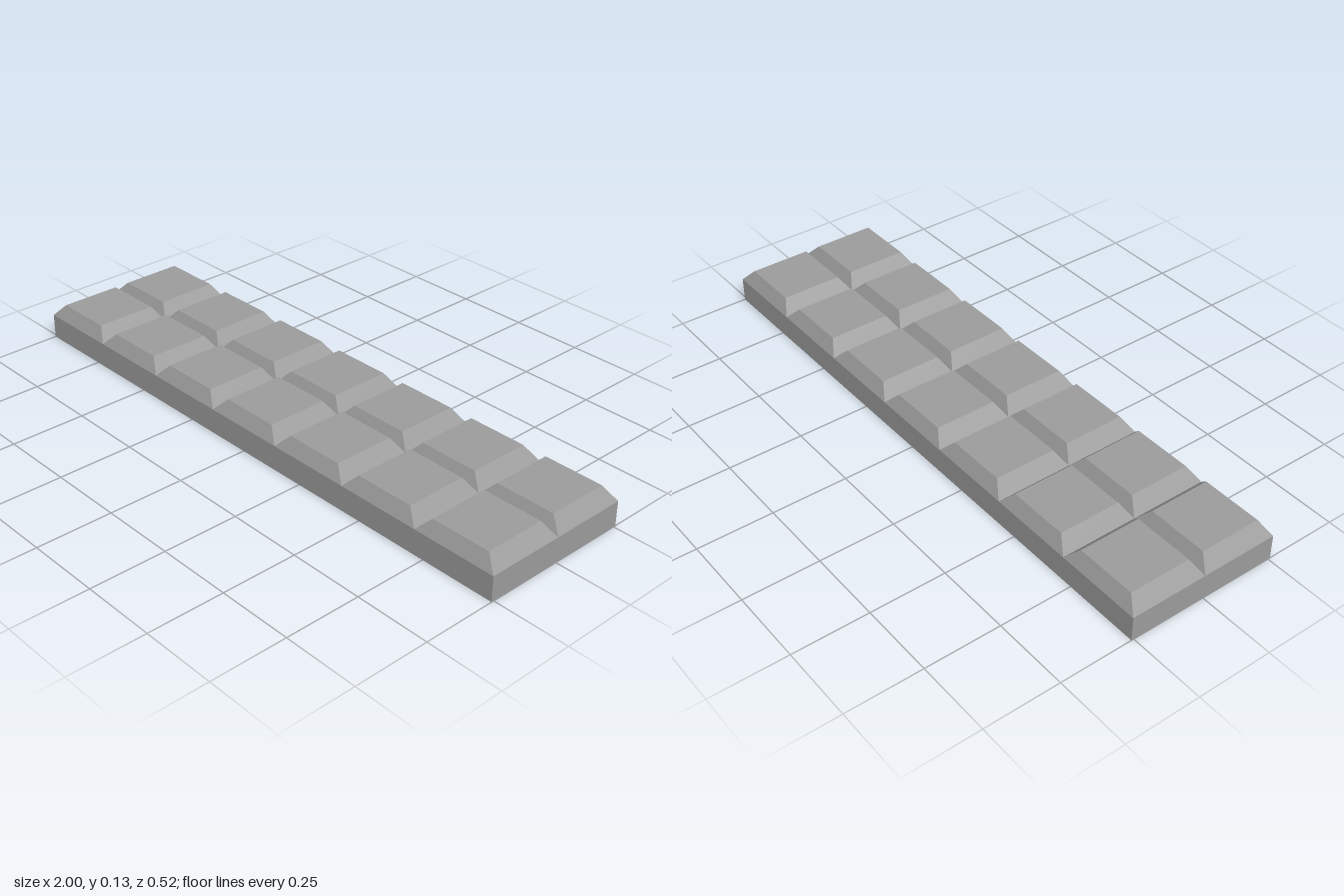
import * as THREE from 'three';

const LENGTH = 2, DEPTH = 0.516;
const SLAB_H = 0.083, SQUARE_H = 0.044;
const COLS = 7, ROWS = 2;
const INSET_X = 0.042, INSET_Z = 0.026;

// Box standing on y = 0 whose top face is pulled in on every side
function bevelledBlock(w, h, d, insetX, insetZ) {
  const geo = new THREE.BoxGeometry(w, h, d).translate(0, h / 2, 0);
  const p = geo.attributes.position;
  for (let i = 0; i < p.count; i++) {
    if (p.getY(i) < h / 2) continue;
    p.setX(i, p.getX(i) - Math.sign(p.getX(i)) * insetX);
    p.setZ(i, p.getZ(i) - Math.sign(p.getZ(i)) * insetZ);
  }
  geo.computeVertexNormals();
  return geo;
}

export function createModel() {
  const bar = new THREE.Group();
  bar.name = 'segmentedBar';
  const material = new THREE.MeshStandardMaterial({ color: 0x9b9b9b, flatShading: true });

  // Solid base joining all the squares
  const slab = new THREE.Mesh(new THREE.BoxGeometry(LENGTH, SLAB_H, DEPTH), material);
  slab.name = 'baseSlab';
  slab.position.y = SLAB_H / 2;
  bar.add(slab);

  // Grid of bevelled squares, meeting in V-shaped grooves
  const squares = new THREE.Group();
  squares.name = 'squares';
  const w = LENGTH / COLS, d = DEPTH / ROWS;
  const geo = bevelledBlock(w, SQUARE_H, d, INSET_X, INSET_Z);
  for (let r = 0; r < ROWS; r++) {
    for (let c = 0; c < COLS; c++) {
      const square = new THREE.Mesh(geo, material);
      square.name = `square_${r + 1}_${c + 1}`;
      square.position.set((c + 0.5) * w - LENGTH / 2, SLAB_H, (r + 0.5) * d - DEPTH / 2);
      squares.add(square);
    }
  }
  bar.add(squares);
  return bar;
}
